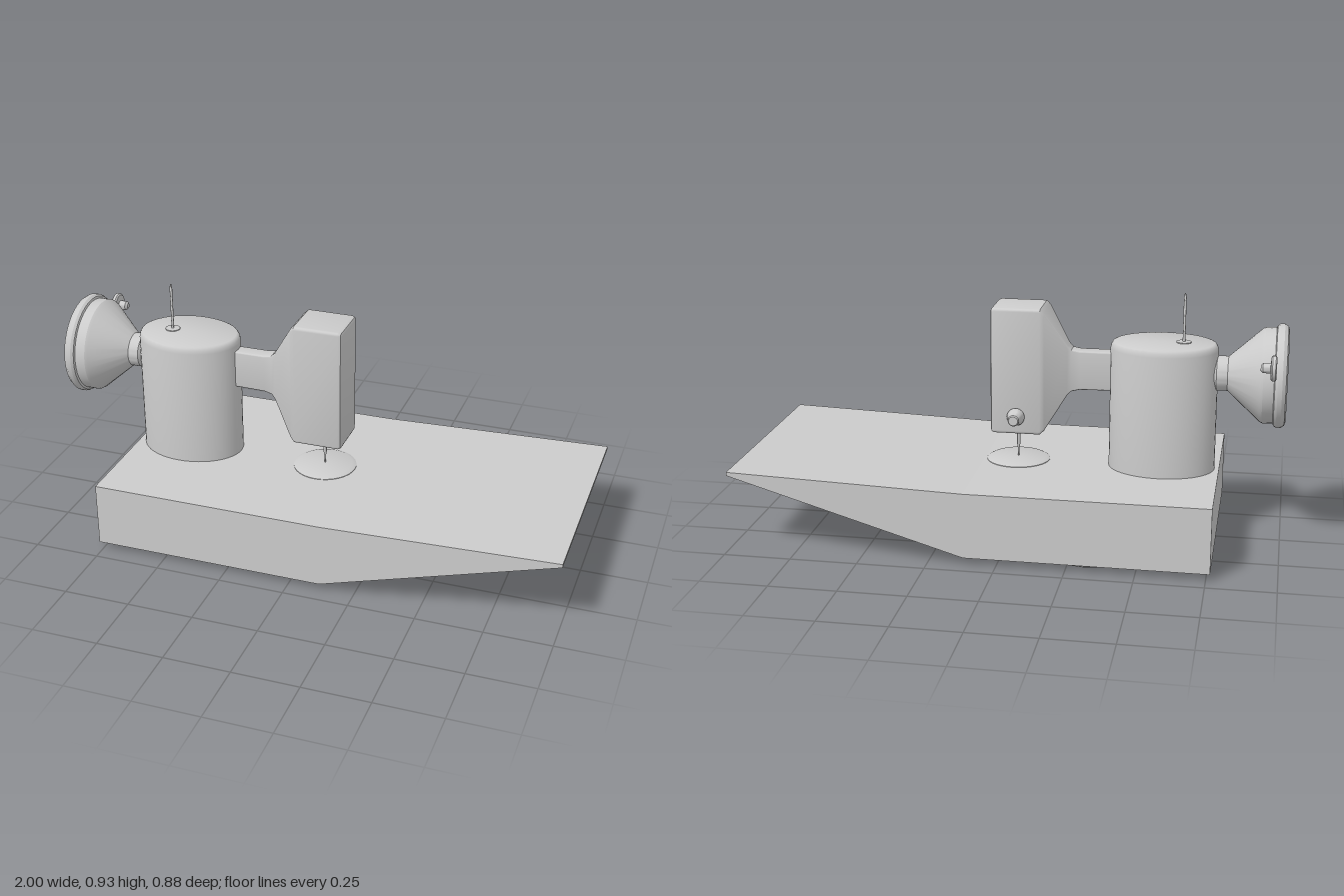
import * as THREE from 'three';
import { toCreasedNormals } from 'three/addons/utils/BufferGeometryUtils.js';

const material = new THREE.MeshStandardMaterial({ color: 0xcccccc });

function addPart(parent, name, geometry, crease = 0.6) {
  const mesh = new THREE.Mesh(toCreasedNormals(geometry, crease), material);
  mesh.name = name;
  parent.add(mesh);
  return mesh;
}

// Turned solid from [radius, height] pairs listed from bottom to top
function turned(profile, segments = 32) {
  return new THREE.LatheGeometry(profile.map(([r, y]) => new THREE.Vector2(r, y)), segments);
}

// Loft of rounded rectangles along x; each section is [x, yMin, yMax, halfDepth, cornerRadius]
function loft(sections) {
  const steps = 4, count = 4 * (steps + 1);
  const positions = [], index = [];
  for (const [x, y0, y1, halfZ, r] of sections) {
    const cy = (y0 + y1) / 2, hy = (y1 - y0) / 2;
    for (let q = 0; q < 4; q++) {
      const sy = q === 0 || q === 3 ? 1 : -1, sz = q < 2 ? 1 : -1;
      for (let s = 0; s <= steps; s++) {
        const a = (q + s / steps) * Math.PI / 2;
        positions.push(x, cy + sy * (hy - r) + r * Math.cos(a), sz * (halfZ - r) + r * Math.sin(a));
      }
    }
  }
  for (let i = 0; i < sections.length - 1; i++) {
    for (let j = 0; j < count; j++) {
      const k = (j + 1) % count;
      const a = i * count + j, b = i * count + k;
      index.push(a, b, a + count, b, b + count, a + count);
    }
  }
  const geometry = new THREE.BufferGeometry();
  geometry.setAttribute('position', new THREE.Float32BufferAttribute(positions, 3));
  geometry.setIndex(index);
  return geometry;
}

export function createModel() {
  const model = new THREE.Group();
  model.name = 'sewingMachine';

  // Base block that tapers into a thin raised table edge
  const outline = new THREE.Shape([
    [-0.765, 0.026], [0.12, 0.026], [1, 0.286], [1, 0.299], [0.12, 0.27], [-0.765, 0.27],
  ].map(([x, y]) => new THREE.Vector2(x, y)));
  const base = new THREE.ExtrudeGeometry(outline, { depth: 0.88, bevelEnabled: false });
  base.translate(0, 0, -0.44);
  addPart(model, 'base', base, 0.01);

  // Shallow foot disc under the base
  const foot = addPart(model, 'footDisc', turned([
    [0, 0.003], [0.385, 0.006], [0.39, 0.001], [0.412, 0.012], [0.4, 0.018], [0.3, 0.027], [0, 0.027],
  ], 18), 0.3);
  foot.position.x = -0.31;

  // Oval column with a softened top rim
  const column = turned([
    [0, 0.26], [1, 0.26], [1, 0.725], [0.985, 0.738], [0.955, 0.747], [0.92, 0.75], [0, 0.75],
  ], 48);
  column.scale(0.198, 1, 0.153);
  addPart(model, 'column', column).position.x = -0.55;

  // Thread pin on the column
  const pin = addPart(model, 'spoolPin', turned([
    [0, 0.74], [0.028, 0.74], [0.028, 0.753], [0.005, 0.754], [0.005, 0.92], [0.002, 0.933], [0, 0.933],
  ], 16));
  pin.position.x = -0.62;

  // Slim arm flaring out into the needle head
  addPart(model, 'armAndHead', loft([
    [-0.4, 0.56, 0.705, 0.029, 0.006],
    [-0.24, 0.557, 0.705, 0.029, 0.006],
    [-0.21, 0.55, 0.71, 0.031, 0.006],
    [-0.195, 0.535, 0.725, 0.037, 0.008],
    [-0.115, 0.405, 0.856, 0.086, 0.012],
    [-0.1, 0.392, 0.87, 0.091, 0.012],
    [0.071, 0.392, 0.87, 0.091, 0.012],
    [0.081, 0.396, 0.866, 0.087, 0.01],
    [0.085, 0.404, 0.858, 0.079, 0.006],
    [0.085, 0.631, 0.631, 0, 0],
  ]), 0.5);

  // Needle and the plate it passes through
  addPart(model, 'needle', turned([
    [0, 0.272], [0.002, 0.275], [0.004, 0.315], [0.006, 0.325], [0.006, 0.4], [0, 0.4],
  ], 12)).position.x = -0.007;
  addPart(model, 'needlePlate', turned([
    [0, 0.26], [0.12, 0.26], [0.12, 0.272], [0.105, 0.279], [0, 0.279],
  ], 32)).position.x = -0.007;

  // Tension knob on the back of the head
  const knob = turned([
    [0, 0], [0.026, 0], [0.033, 0.012], [0.033, 0.018], [0.026, 0.036], [0.021, 0.052], [0.021, 0.066], [0.017, 0.071], [0, 0.071],
  ], 20);
  knob.rotateX(-Math.PI / 2);
  addPart(model, 'tensionKnob', knob).position.set(-0.013, 0.462, -0.086);

  // Conical hand wheel on the side of the column
  const wheel = new THREE.Group();
  wheel.name = 'handWheel';
  wheel.position.y = 0.64;
  model.add(wheel);
  const body = turned([
    [0, -1], [0.165, -1], [0.181, -0.995], [0.19, -0.982], [0.19, -0.966], [0.184, -0.956],
    [0.176, -0.953], [0.176, -0.914], [0.17, -0.904], [0.064, -0.785], [0.064, -0.745],
    [0.05, -0.735], [0.05, -0.7], [0, -0.7],
  ], 40);
  body.rotateZ(-Math.PI / 2);
  addPart(wheel, 'wheelBody', body, 0.5);

  // Small flanged grip at the wheel rim
  const grip = turned([
    [0, -0.96], [0.04, -0.96], [0.045, -0.956], [0.045, -0.945], [0.04, -0.94], [0.018, -0.938],
    [0.018, -0.912], [0.01, -0.904], [0, -0.904],
  ], 20);
  grip.rotateZ(-Math.PI / 2);
  addPart(wheel, 'wheelGrip', grip).position.set(0, 0.08, -0.2);

  return model;
}
